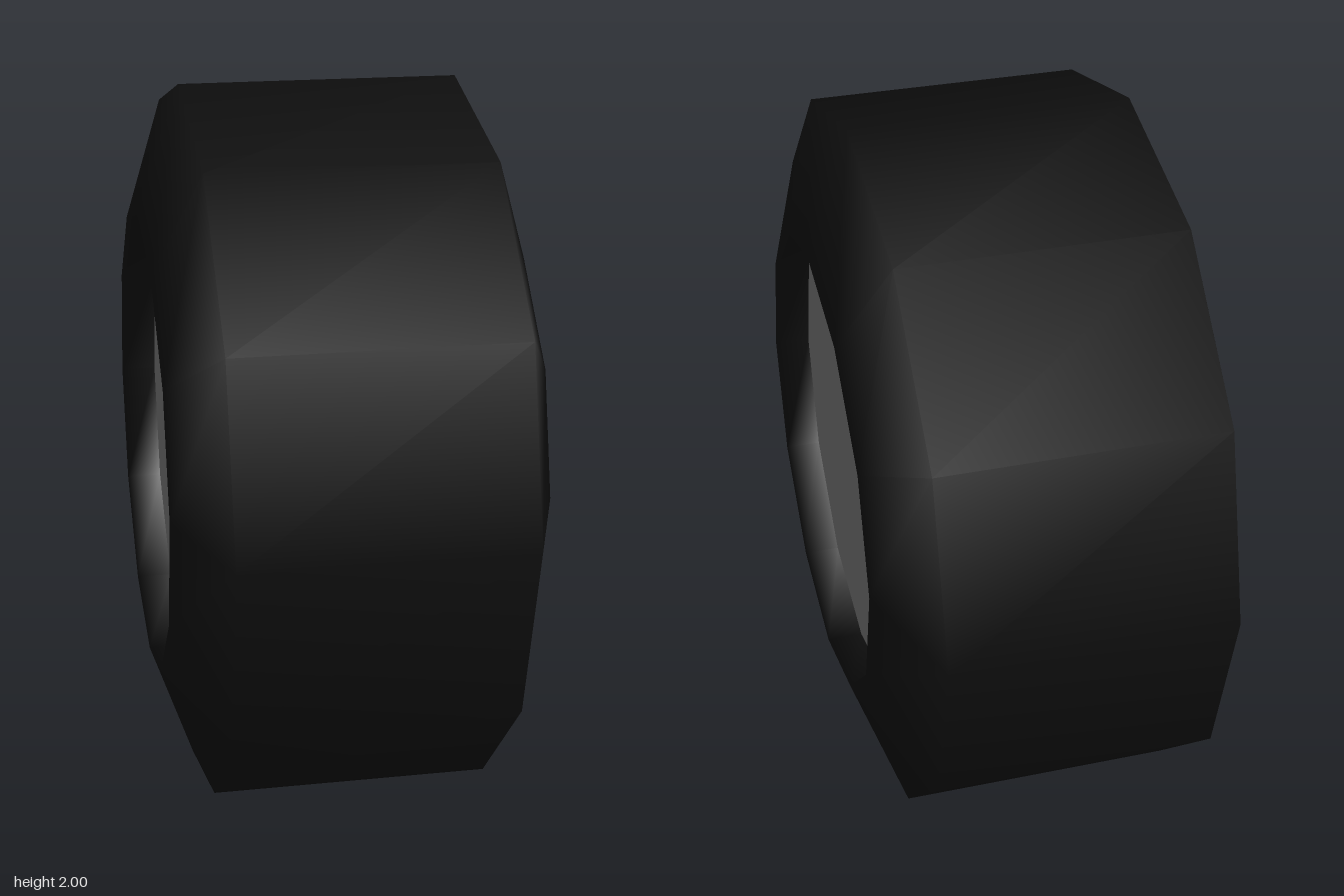
import * as THREE from 'three';

const SIDES = 12;
const LIP_RADIUS = 0.65;
const HUB_X = 0.4;

export function createModel() {
  const rubber = new THREE.MeshStandardMaterial({ color: 0x0d0d0d });
  rubber.name = 'black rubber';
  const metal = new THREE.MeshStandardMaterial({ color: 0x6e6e6e });
  metal.name = 'grey metal';

  const wheel = new THREE.Group();
  wheel.name = 'wheel';

  // Tyre: recess wall, sidewall, tread, sidewall, recess wall
  const profile = [
    [LIP_RADIUS, -HUB_X], [LIP_RADIUS, -0.5], [1, -0.38],
    [1, 0.38], [LIP_RADIUS, 0.5], [LIP_RADIUS, HUB_X],
  ].map(([r, y]) => new THREE.Vector2(r, y));
  const tyre = new THREE.Mesh(new THREE.LatheGeometry(profile, SIDES), rubber);
  tyre.name = 'tyre';
  tyre.rotation.z = -Math.PI / 2;
  tyre.position.y = 1;
  wheel.add(tyre);

  // Flat hub discs set into both sides
  for (const side of [-1, 1]) {
    const hub = new THREE.Mesh(new THREE.CircleGeometry(LIP_RADIUS, SIDES), metal);
    hub.name = side > 0 ? 'leftHub' : 'rightHub';
    hub.rotation.y = side * Math.PI / 2;
    hub.position.set(side * HUB_X, 1, 0);
    wheel.add(hub);
  }

  return wheel;
}
